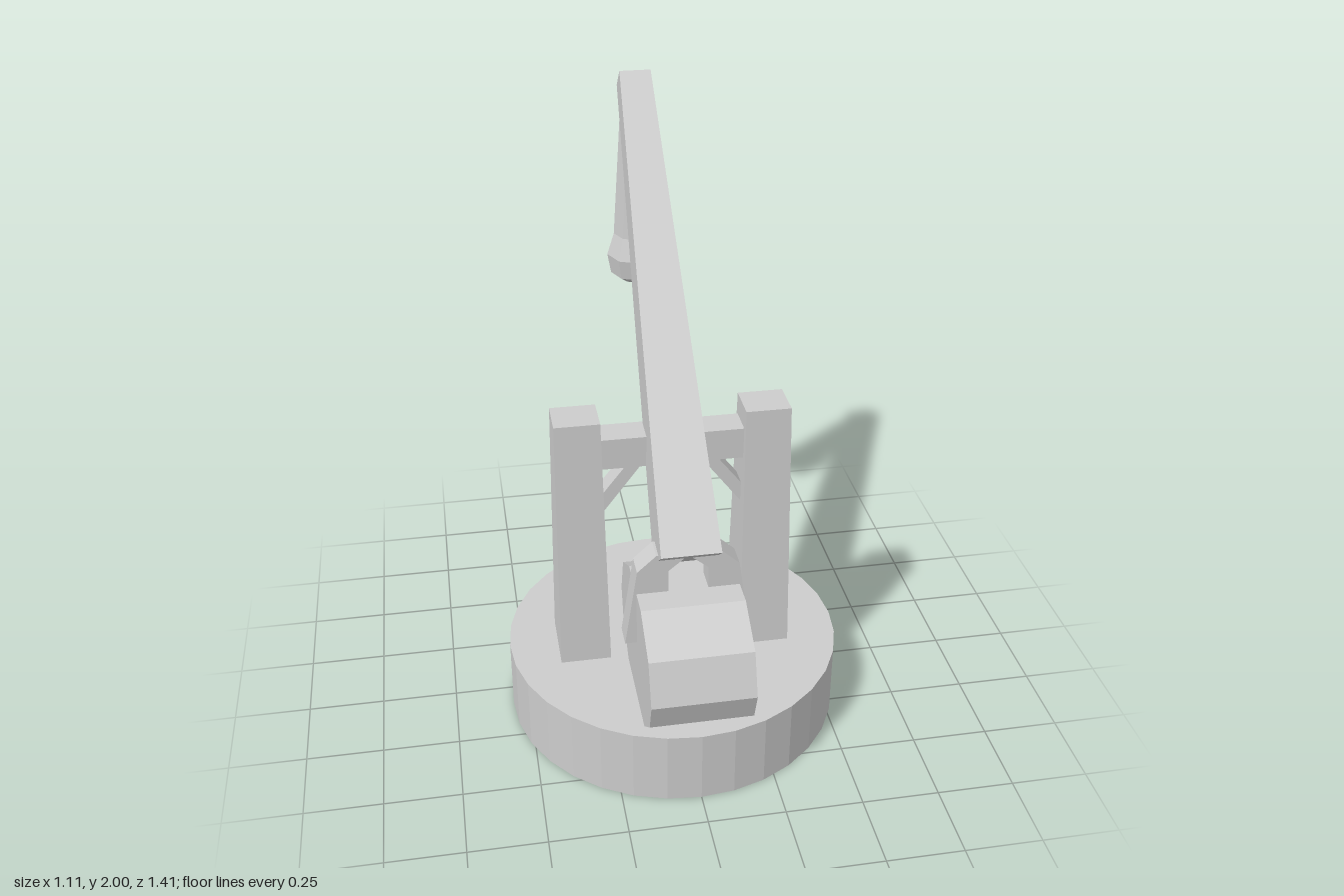
import * as THREE from 'three';

const CX = -0.008; // centre line of the timber frame

export function createModel() {
  const group = new THREE.Group();
  const grey = new THREE.MeshStandardMaterial({ color: 0xcccccc, flatShading: true });
  grey.name = 'light grey';

  const add = (name, geometry, x = 0, y = 0, z = 0) => {
    const mesh = new THREE.Mesh(geometry, grey);
    mesh.name = name;
    mesh.position.set(x, y, z);
    group.add(mesh);
    return mesh;
  };

  // Box whose corners are placed by a rule on their signs
  const cornerBox = (rule) => {
    const g = new THREE.BoxGeometry(2, 2, 2);
    const p = g.attributes.position;
    for (let i = 0; i < p.count; i++) p.setXYZ(i, ...rule(p.getX(i), p.getY(i), p.getZ(i)));
    g.computeVertexNormals();
    return g;
  };

  // Outline extruded symmetrically about its own plane
  const slab = (points, depth) => {
    const shape = new THREE.Shape(points.map(([x, y]) => new THREE.Vector2(x, y)));
    return new THREE.ExtrudeGeometry(shape, { depth, bevelEnabled: false }).translate(0, 0, -depth / 2);
  };

  // Round base
  add('base', new THREE.CylinderGeometry(0.555, 0.555, 0.25, 32), 0, 0.125, 0.085);

  // Tapered posts and diagonal braces, mirrored
  for (const side of [-1, 1]) {
    const label = side > 0 ? 'left' : 'right';
    add(label + 'Post', cornerBox((sx, sy, sz) => (sy > 0
      ? [sx * 0.0725, 1.12, 0.095 + sz * 0.065]
      : [sx * 0.083, 0.25, 0.0925 + sz * 0.1125])), CX + side * 0.302);
    const brace = [[0.24, 0.755], [0.24, 0.825], [0.135, 0.96], [0.085, 0.96]];
    add(label + 'Brace', slab(brace.map(([x, y]) => [side * x, y]), 0.07), CX, 0, 0.09);
  }

  // Axle beam between the posts
  add('crossBeam', new THREE.BoxGeometry(0.5, 0.105, 0.1), CX, 0.9975, 0.09);

  // Tapered throwing arm
  add('throwingArm', cornerBox((sx, sy, sz) => (sy > 0
    ? [sx * 0.051, sz > 0 ? 2.0 : 1.935, sz > 0 ? -0.58 : -0.65]
    : [sx * 0.094, sz > 0 ? 0.82 : 0.70, sz > 0 ? 0.475 : 0.33])), CX);

  // Counterweight: many-sided drum, profile in z and y
  const half = [[0.17, 0.25], [0.28, 0.34], [0.315, 0.44], [0.265, 0.575], [0.12, 0.66]];
  const drum = [...half, ...half.map(([z, y]) => [-z, y]).reverse()];
  add('counterweight', slab(drum, 0.325).rotateY(-Math.PI / 2), CX, 0, 0.39);

  // Arched hanger holding the counterweight
  const leg = [[0.2, 0.475], [0.16, 0.74], [0.1, 0.795]];
  const inner = [[0.063, 0.475], [0.063, 0.735]];
  const mirror = (pts) => pts.map(([x, y]) => [-x, y]);
  const arch = [...leg, ...mirror(leg).reverse(), ...mirror(inner), [0, 0.787], ...inner.slice().reverse()];
  add('hanger', slab(arch, 0.08), CX, 0, 0.383);

  // Hanging sling with a swollen pouch
  const profile = [[0, 1.27], [0.06, 1.27], [0.092, 1.292], [0.104, 1.36], [0.08, 1.435], [0.045, 1.97], [0, 1.97]];
  add('sling', new THREE.LatheGeometry(profile.map(([r, y]) => new THREE.Vector2(r, y)), 8), -0.005, 0, -0.6);

  return group;
}
